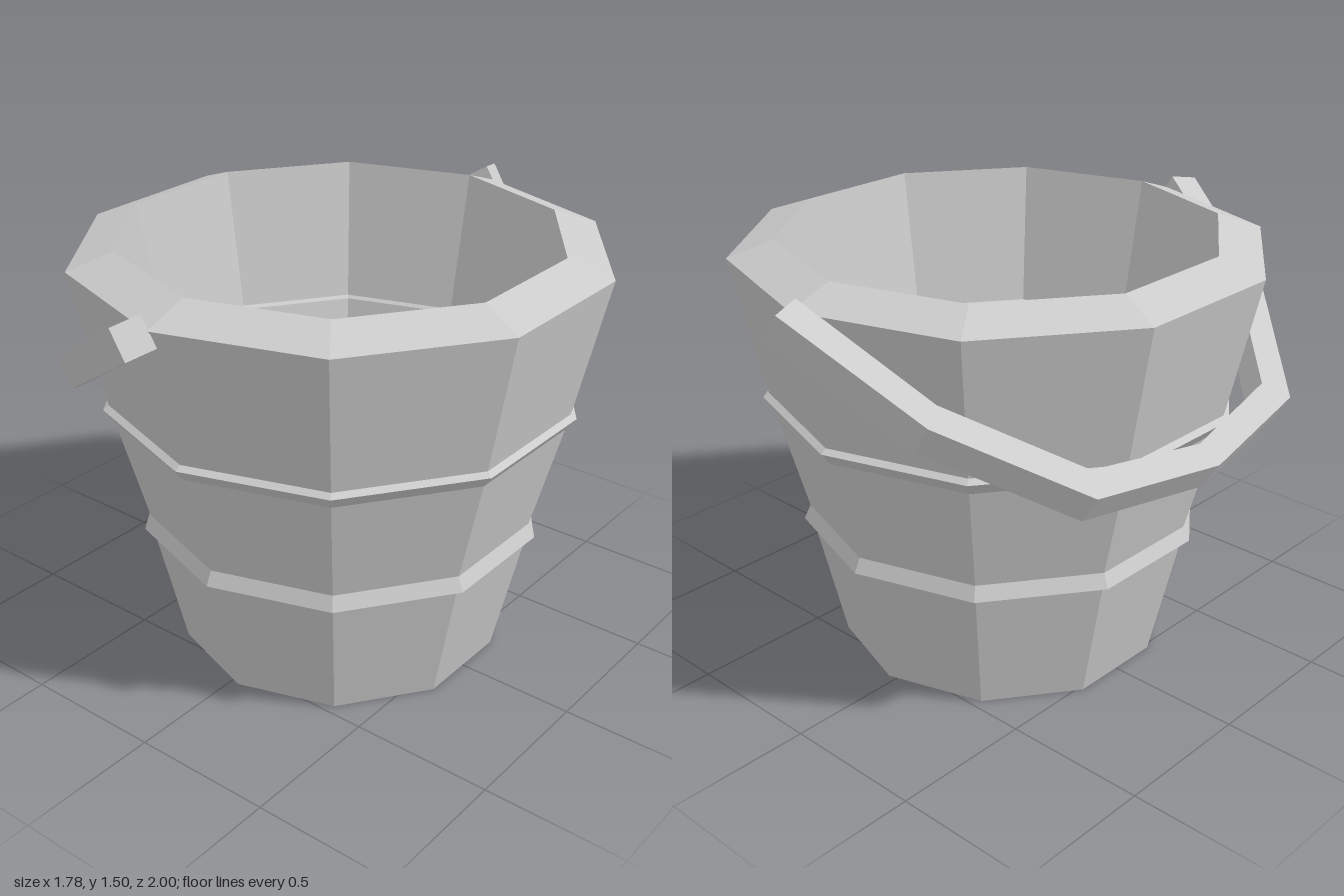
import * as THREE from 'three';

const material = new THREE.MeshStandardMaterial({ color: 0xcccccc, flatShading: true });

function addPart(group, name, geometry) {
  const mesh = new THREE.Mesh(geometry, material);
  mesh.name = name;
  group.add(mesh);
  return mesh;
}

export function createModel() {
  const model = new THREE.Group();
  model.name = 'bucket';

  // Ten-sided body: outer wall with two hoops, sloped rim, inner wall and floor
  const profile = [
    [0, 0], [0.575, 0], [0.68, 0.47],
    [0.708, 0.47], [0.685, 0.52], // lower hoop
    [0.785, 0.9], [0.82, 0.945], [0.8, 0.96], // upper hoop
    [0.905, 1.44], [0.75, 1.495], // rim
    [0.66, 1.0], [0.648, 0.99], [0.52, 0.44], [0.465, 0.2], [0, 0.2], // inside
  ].map(([r, y]) => new THREE.Vector2(r, y));
  addPart(model, 'body', new THREE.LatheGeometry(profile, 10)).position.x = 0.03;

  // Faceted half-ring handle, drawn flat as (reach, z) and mirrored in z
  const mirrored = (half) => [...half, ...half.slice(0, -1).reverse().map(([u, z]) => [u, -z])];
  const outer = mirrored([[0, 1], [0.52, 0.83], [0.94, 0.5], [1.027, 0]]);
  const inner = mirrored([[-0.035, 0.9], [0.46, 0.745], [0.85, 0.44], [0.935, 0]]);
  const outline = [...outer, ...inner.reverse()].map(([u, z]) => new THREE.Vector2(u, z));
  const handle = new THREE.ExtrudeGeometry(new THREE.Shape(outline), { depth: 0.11, bevelEnabled: false });

  // Tilt the handle down towards -x
  const reach = new THREE.Vector3(-0.847, -0.531, 0).normalize();
  const across = new THREE.Vector3(0, 0, 1);
  const up = new THREE.Vector3().crossVectors(reach, across);
  handle.applyMatrix4(new THREE.Matrix4().makeBasis(reach, across, up).setPosition(0.035, 1.375, 0));
  addPart(model, 'handle', handle);

  return model;
}
